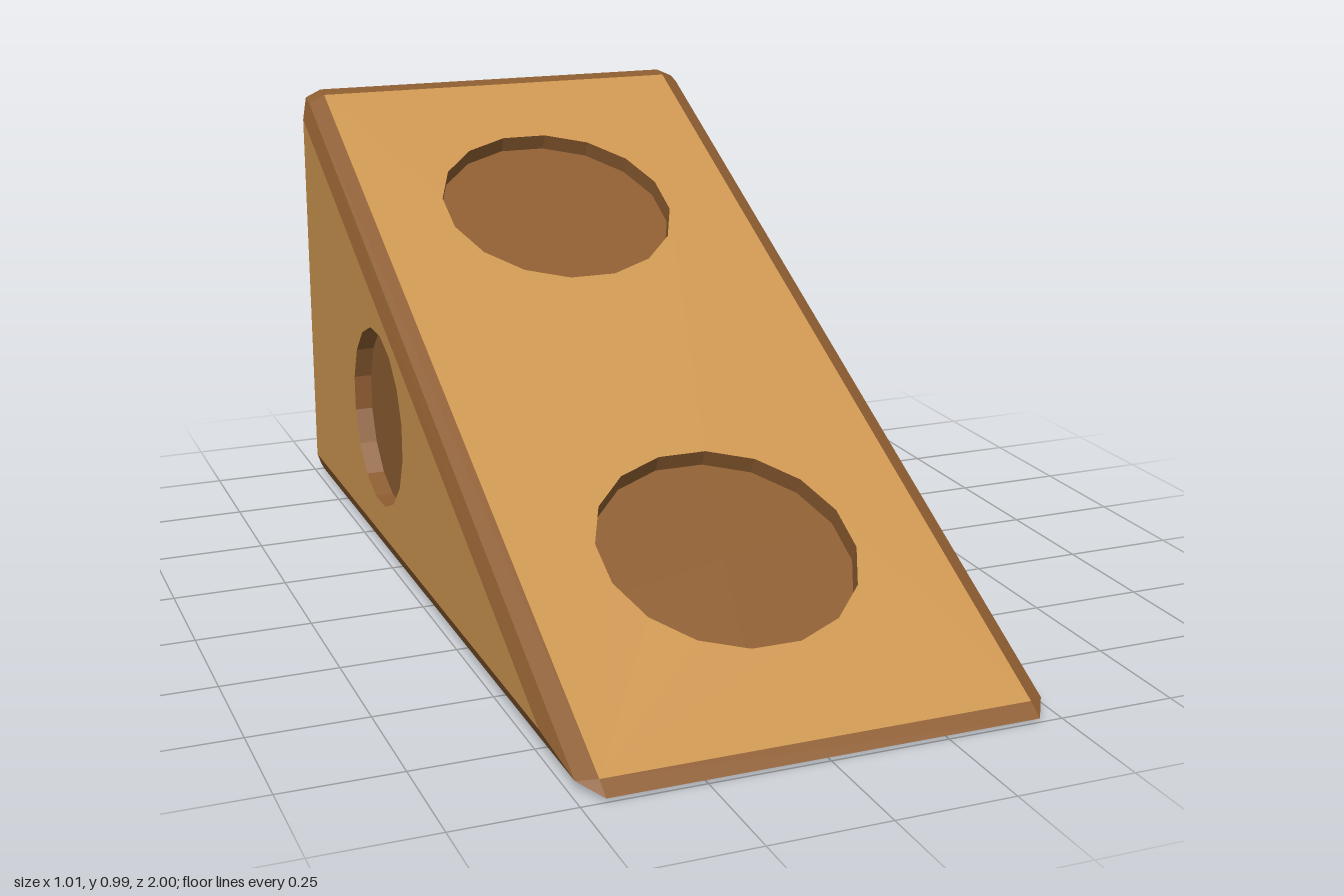
import * as THREE from 'three';
import { ConvexGeometry } from 'three/addons/geometries/ConvexGeometry.js';

const lightWood = new THREE.MeshStandardMaterial({ color: 0xcb9550, flatShading: true });
const darkWood = new THREE.MeshStandardMaterial({ color: 0x8c5c30, flatShading: true, side: THREE.DoubleSide });
lightWood.name = 'lightWood';
darkWood.name = 'darkWood';

const SIDES = 16, STEP = Math.PI / SIDES, DEPTH = 0.04, SLOPE = Math.sqrt(1.25);
const vec = (x, y, z) => new THREE.Vector3(x, y, z);
const slopeY = z => 0.5125 - 0.5 * z;

// Flat panel with round recesses, drawn in the plane of u and v
function panel(name, origin, u, v, outline, holes) {
  const group = new THREE.Group();
  group.name = name;
  const add = (part, geometry, material) => {
    const mesh = new THREE.Mesh(geometry, material);
    mesh.name = part;
    group.add(mesh);
    return mesh;
  };
  const shape = new THREE.Shape(outline.map(p => new THREE.Vector2(...p)));
  for (const [x, y, r] of holes) {
    const ring = [];
    for (let i = 0; i < SIDES; i++) {
      const a = STEP * (2 * i + 1);
      ring.push(new THREE.Vector2(x + r * Math.cos(a), y + r * Math.sin(a)));
    }
    shape.holes.push(new THREE.Path(ring));
    const wall = new THREE.CylinderGeometry(r, r, DEPTH, SIDES, 1, true, STEP);
    add('recessWall', wall.rotateX(Math.PI / 2), darkWood).position.set(x, y, -DEPTH / 2);
    add('recessFloor', new THREE.CircleGeometry(r, SIDES, STEP), darkWood).position.set(x, y, -DEPTH);
  }
  add('panelFace', new THREE.ShapeGeometry(shape), lightWood);
  group.quaternion.setFromRotationMatrix(
    new THREE.Matrix4().makeBasis(u, v, u.clone().cross(v)));
  group.position.copy(origin);
  return group;
}

// Bevelled rim: hull of the stepped cross-sections, without the five flat faces
function rimGeometry() {
  const sections = [
    [0.45, [[0.965, 0], [1, 0.008], [0.965, slopeY(0.965)], [-0.945, slopeY(-0.945)], [-0.983, 0.993],
      [-1, 0.94], [-1, 0.055], [-0.985, 0.017], [-0.945, 0]]],
    [0.488, [[0.94, 0.021], [-0.945, 0.966], [-0.98, 0.976], [-0.985, 0.93],
      [-0.985, 0.055], [-0.98, 0.021], [-0.945, 0.017]]],
    [0.505, [[0.79, 0.06], [-0.945, 0.9275], [-0.945, 0.06]]],
  ];
  const points = [];
  for (const [x, section] of sections)
    for (const [z, y] of section) points.push(vec(x, y, z), vec(-x, y, z));
  const hull = new ConvexGeometry(points);
  const flats = [vec(0, 2, 1).normalize(), vec(0, -1, 0), vec(0, 0, -1), vec(1, 0, 0), vec(-1, 0, 0)];
  const pos = hull.attributes.position, kept = [];
  for (let i = 0; i < pos.count; i += 3) {
    const [a, b, c] = [0, 1, 2].map(k => new THREE.Vector3().fromBufferAttribute(pos, i + k));
    const n = new THREE.Triangle(a, b, c).getNormal(vec(0, 0, 0));
    if (!flats.some(f => f.dot(n) > 0.999)) kept.push(a, b, c);
  }
  const rim = new THREE.BufferGeometry().setFromPoints(kept);
  rim.computeVertexNormals();
  return rim;
}

export function createModel() {
  const model = new THREE.Group();
  model.name = 'wedgeBlock';

  const rim = new THREE.Mesh(rimGeometry(), darkWood);
  rim.name = 'bevelledRim';
  model.add(rim);

  const rect = (x, y0, y1) => [[-x, y0], [x, y0], [x, y1], [-x, y1]];
  const X = vec(1, 0, 0), Y = vec(0, 1, 0), Z = vec(0, 0, 1);

  // Ramp, base and back
  model.add(panel('ramp', vec(0, slopeY(0), 0), X, vec(0, 1, -2).normalize(),
    rect(0.45, -0.965 * SLOPE, 0.945 * SLOPE),
    [[0, 0.503 * SLOPE, 0.275], [0, -0.513 * SLOPE, 0.275]]));
  model.add(panel('base', vec(0, 0, 0), X, Z, rect(0.45, -0.945, 0.965),
    [[0, -0.51, 0.275], [0, 0.51, 0.275]]));
  model.add(panel('back', vec(0, 0, -1), vec(-1, 0, 0), Y, rect(0.45, 0.055, 0.94),
    [[0, 0.5, 0.275]]));

  // Triangular sides
  for (const s of [1, -1]) {
    model.add(panel(s > 0 ? 'leftSide' : 'rightSide', vec(0.505 * s, 0, 0), vec(0, 0, -s), Y,
      [[-0.79 * s, 0.06], [0.945 * s, 0.06], [0.945 * s, 0.9275]],
      [[0.318 * s, 0.343, 0.207]]));
  }
  return model;
}
